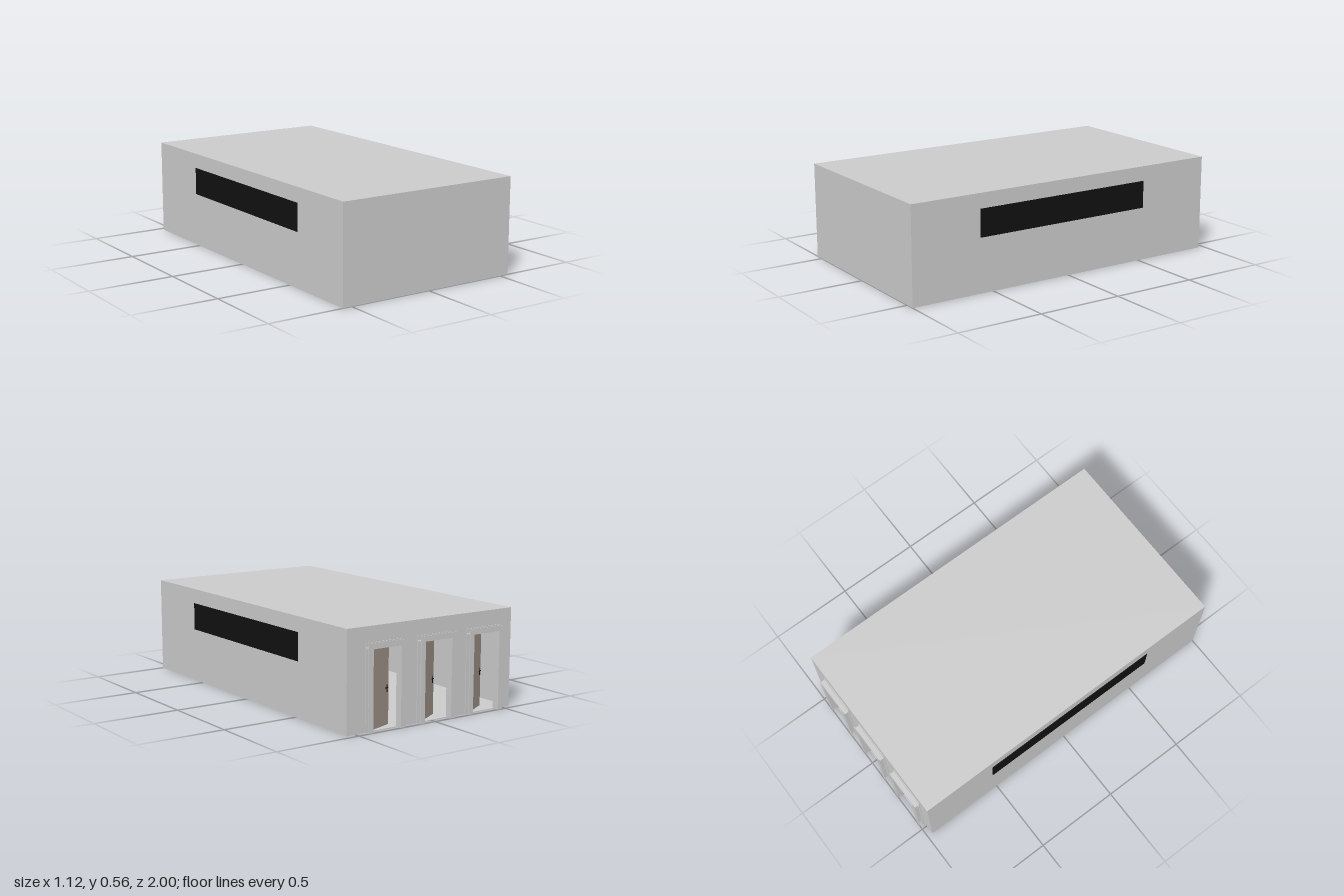
import * as THREE from 'three';

const grey = new THREE.MeshStandardMaterial({ color: 0xcccccc, side: THREE.DoubleSide });
const black = new THREE.MeshStandardMaterial({ color: 0x111111 });
const brown = new THREE.MeshStandardMaterial({ color: 0xa4988d });

const W = 0.555, H = 0.556, BACK = -0.967, FRONT = 1, T = 0.01;
const OPEN_W = 0.18, OPEN_H = 0.44, FRAME_W = 0.24, FRAME_H = 0.47;

// Box given by its minimum and maximum corners
function box(parent, name, mat, x0, x1, y0, y1, z0, z1) {
  const mesh = new THREE.Mesh(new THREE.BoxGeometry(x1 - x0, y1 - y0, z1 - z0), mat);
  mesh.position.set((x0 + x1) / 2, (y0 + y1) / 2, (z0 + z1) / 2);
  mesh.name = name;
  parent.add(mesh);
  return mesh;
}

// Flat upside-down U standing on the ground, used for the door casings
function casing(parent, name, z, depth) {
  const o = FRAME_W / 2, i = OPEN_W / 2;
  const shape = new THREE.Shape([
    [-o, 0], [-i, 0], [-i, OPEN_H], [i, OPEN_H], [i, 0], [o, 0], [o, FRAME_H], [-o, FRAME_H],
  ].map(([x, y]) => new THREE.Vector2(x, y)));
  const mesh = new THREE.Mesh(new THREE.ExtrudeGeometry(shape, { depth, bevelEnabled: false }), grey);
  mesh.position.z = z;
  mesh.name = name;
  parent.add(mesh);
}

// Door frame with a leaf hinged on the +x side and opened into the room
function doorway(x, angle) {
  const g = new THREE.Group();
  g.name = 'doorway';
  g.position.x = x;
  const i = OPEN_W / 2;
  casing(g, 'outerCasing', -1, 0.004);
  casing(g, 'innerCasing', BACK - 0.004, 0.004);
  for (const s of [-1, 1]) {
    const a = s * i, b = s * (i + 0.008);
    box(g, 'jamb', grey, Math.min(a, b), Math.max(a, b), 0, OPEN_H, -0.998, BACK + T);
  }
  box(g, 'doorHead', grey, -FRAME_W / 2, FRAME_W / 2, OPEN_H, 0.447, -0.998, BACK - 0.001);

  const leaf = new THREE.Group();
  leaf.name = 'doorLeaf';
  leaf.position.set(i, 0, BACK);
  leaf.rotation.y = angle;
  box(leaf, 'doorPanel', brown, -OPEN_W, 0, 0.004, OPEN_H - 0.003, 0, 0.012);
  // Plate, spindle and lever on both faces
  for (const z of [-0.006, 0.018]) {
    box(leaf, 'handlePlate', black, -0.169, -0.161, 0.18, 0.22, z < 0 ? -0.002 : 0.012, z < 0 ? 0 : 0.014);
    box(leaf, 'handleSpindle', black, -0.167, -0.163, 0.203, 0.207, Math.min(z, 0), Math.max(z, 0.012));
    box(leaf, 'handleLever', black, -0.167, -0.14, 0.203, 0.207, z - 0.002, z + 0.002);
  }
  g.add(leaf);
  return g;
}

export function createModel() {
  const model = new THREE.Group();
  const doors = [[-0.355, 0.52], [-0.02, 0.52], [0.32, 0.35]];

  // Hollow shell
  box(model, 'floor', grey, -W, W, 0, 0.003, BACK, FRONT);
  box(model, 'roof', grey, -W, W, H - T, H, BACK, FRONT);
  box(model, 'frontWall', grey, -W, W, 0.003, H - T, FRONT - T, FRONT);
  for (const s of [-1, 1]) {
    const c = s * (W - T / 2);
    box(model, 'sideWall', grey, c - T / 2, c + T / 2, 0.003, H - T, BACK, FRONT - T);
    // Window strip passing through the wall
    const w = s * (W - T / 2);
    box(model, 'windowStrip', black, w - 0.008, w + 0.008, 0.312, 0.47, -0.525, 0.58);
  }

  // Back wall with three door openings
  const wall = new THREE.Shape();
  wall.moveTo(-W + T, 0.003);
  for (const [x] of doors) {
    const a = x - OPEN_W / 2, b = x + OPEN_W / 2;
    wall.lineTo(a, 0.003);
    wall.lineTo(a, OPEN_H);
    wall.lineTo(b, OPEN_H);
    wall.lineTo(b, 0.003);
  }
  wall.lineTo(W - T, 0.003);
  wall.lineTo(W - T, H - T);
  wall.lineTo(-W + T, H - T);
  const backWall = new THREE.Mesh(new THREE.ExtrudeGeometry(wall, { depth: T, bevelEnabled: false }), grey);
  backWall.position.z = BACK;
  backWall.name = 'backWall';
  model.add(backWall);

  for (const [x, angle] of doors) model.add(doorway(x, angle));
  return model;
}
